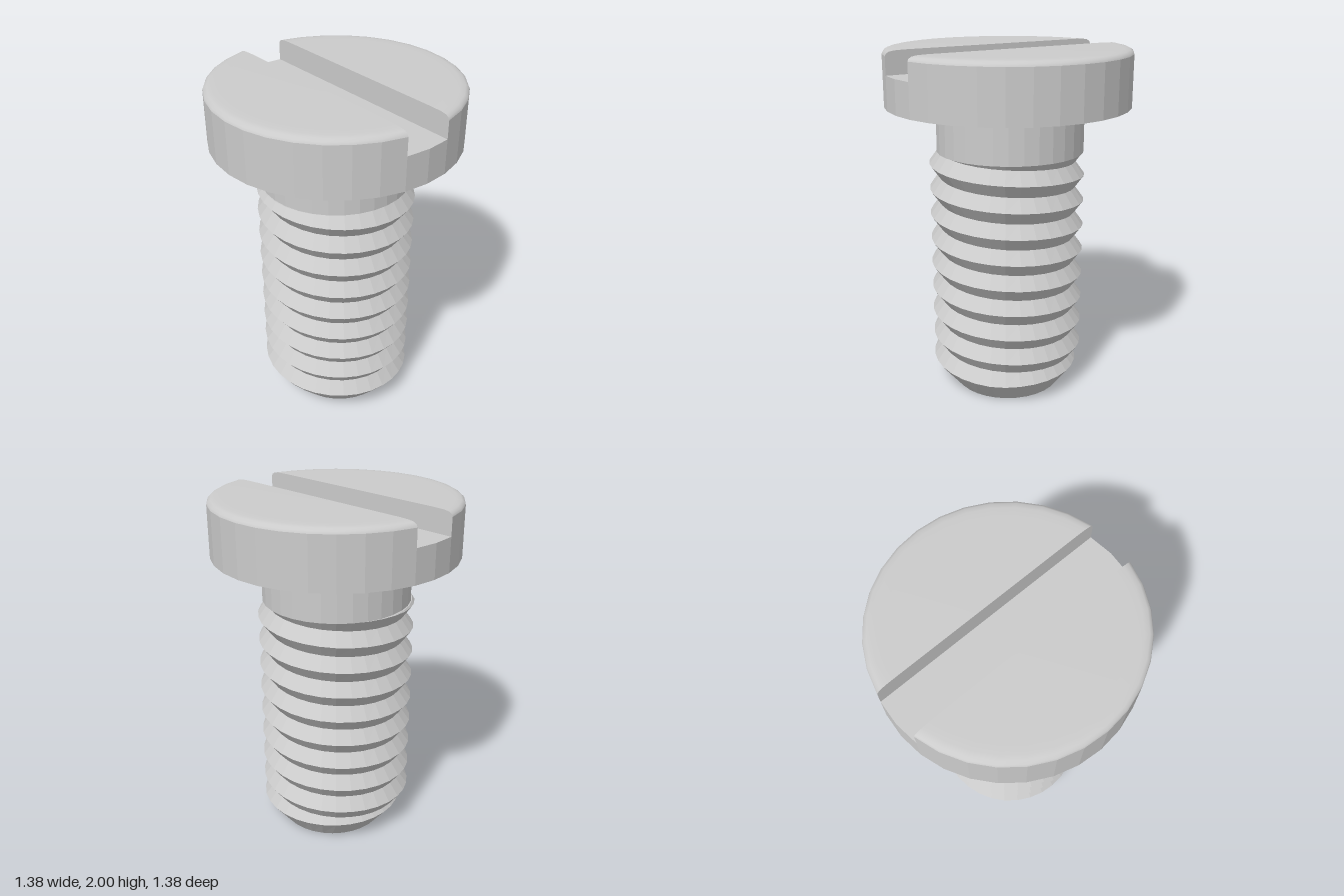
import * as THREE from 'three';

const SIDES = 32;
const flat = new THREE.MeshStandardMaterial({ color: 0xcccccc, flatShading: true });
const smooth = new THREE.MeshStandardMaterial({ color: 0xcccccc });

// Point at angle t (0 = +x, counter-clockwise seen from above)
const polar = (r, t, y, x = 0, z = 0) => new THREE.Vector3(x + r * Math.cos(t), y, z - r * Math.sin(t));
const range = (n, f) => Array.from({ length: n }, (_, i) => f(i));
const ring = (f) => range(SIDES + 1, (j) => f((j / SIDES) * Math.PI * 2));

// Skin a stack of equally long rows, skipping collapsed triangles
function loft(name, rows, material) {
  const n = rows[0].length;
  const points = rows.flat();
  const index = [];
  const tri = (a, b, c) => {
    if (new THREE.Triangle(points[a], points[b], points[c]).getArea() > 1e-8) index.push(a, b, c);
  };
  for (let i = 0; i < rows.length - 1; i++) {
    for (let j = 0; j < n - 1; j++) {
      const a = i * n + j, d = a + n;
      tri(a, a + 1, d + 1);
      tri(a, d + 1, d);
    }
  }
  const g = new THREE.BufferGeometry().setFromPoints(points);
  g.setIndex(index);
  g.computeVertexNormals();
  const mesh = new THREE.Mesh(g, material);
  mesh.name = name;
  return mesh;
}

function cylinder(name, r, y0, y1, x = 0, z = 0) {
  const mesh = new THREE.Mesh(new THREE.CylinderGeometry(r, r, y1 - y0, SIDES), flat);
  mesh.position.set(x, (y0 + y1) / 2, z);
  mesh.name = name;
  return mesh;
}

// One half of the head above the slot floor, on the +x side
function headHalf(name) {
  const half = new THREE.Group();
  half.name = name;
  const slot = 0.1346, n = 14;
  const row = ([r, y]) => {
    const a = Math.acos(slot / r);
    return range(n + 1, (j) => polar(r, -a + (2 * a * j) / n, y));
  };
  const wall = [[0.69, 1.87], [0.69, 1.97]].map(row);
  const rim = [[0.69, 1.97], [0.684, 1.983], [0.668, 1.993], [0.64, 1.998], [0.58, 2]].map(row);
  const centre = range(n + 1, () => new THREE.Vector3(slot, 2, 0));
  half.add(loft('headWall', wall, flat));
  half.add(loft('roundedTop', [...rim, centre], smooth));
  const slotRows = [wall[0], ...rim].map((r) => [r[n], r[0]]);
  half.add(loft('slotWall', slotRows, flat));
  return half;
}

// Helical V thread, cut flat at both ends
const PITCH = 0.149, CREST = 0.445, ROOT = 0.391, LOW = 0.13, HIGH = 1.42;
const helixY = (t) => 1.305 - (PITCH * t) / (Math.PI * 2);
function threadPoint(t, y) {
  const yc = THREE.MathUtils.clamp(y, LOW, HIGH);
  const u = (yc - helixY(t)) / PITCH;
  const away = 2 * Math.abs(u - Math.round(u));
  return polar(THREE.MathUtils.lerp(CREST, ROOT, away), t, yc, -0.005, 0.005);
}

export function createModel() {
  const screw = new THREE.Group();
  screw.name = 'slottedScrew';

  // Head with a straight slot along z
  const head = new THREE.Group();
  head.name = 'head';
  head.add(cylinder('headBase', 0.69, 1.68, 1.87));
  const left = headHalf('headLeft');
  const right = headHalf('headRight');
  right.rotation.y = Math.PI;
  head.add(left, right);
  screw.add(head);

  // Plain neck
  screw.add(cylinder('neck', 0.42, HIGH, 1.68, 0.005, -0.01));

  // Thread: rows alternate crest and root, ending in a flat top
  const rows = range(23, (i) => ring((t) => threadPoint(t, helixY(t) + ((i - 18) * PITCH) / 2)));
  rows.push(ring(() => new THREE.Vector3(0, HIGH, 0)));
  screw.add(loft('thread', rows, flat));

  // Tapered tip meeting the thread's lower end
  const tipX = 0.016, tipZ = 0.014;
  screw.add(loft('tip', [
    ring(() => new THREE.Vector3(tipX, 0, tipZ)),
    ring((t) => polar(0.313, t, 0, tipX, tipZ)),
    ring((t) => threadPoint(t, LOW)),
  ], flat));

  return screw;
}
